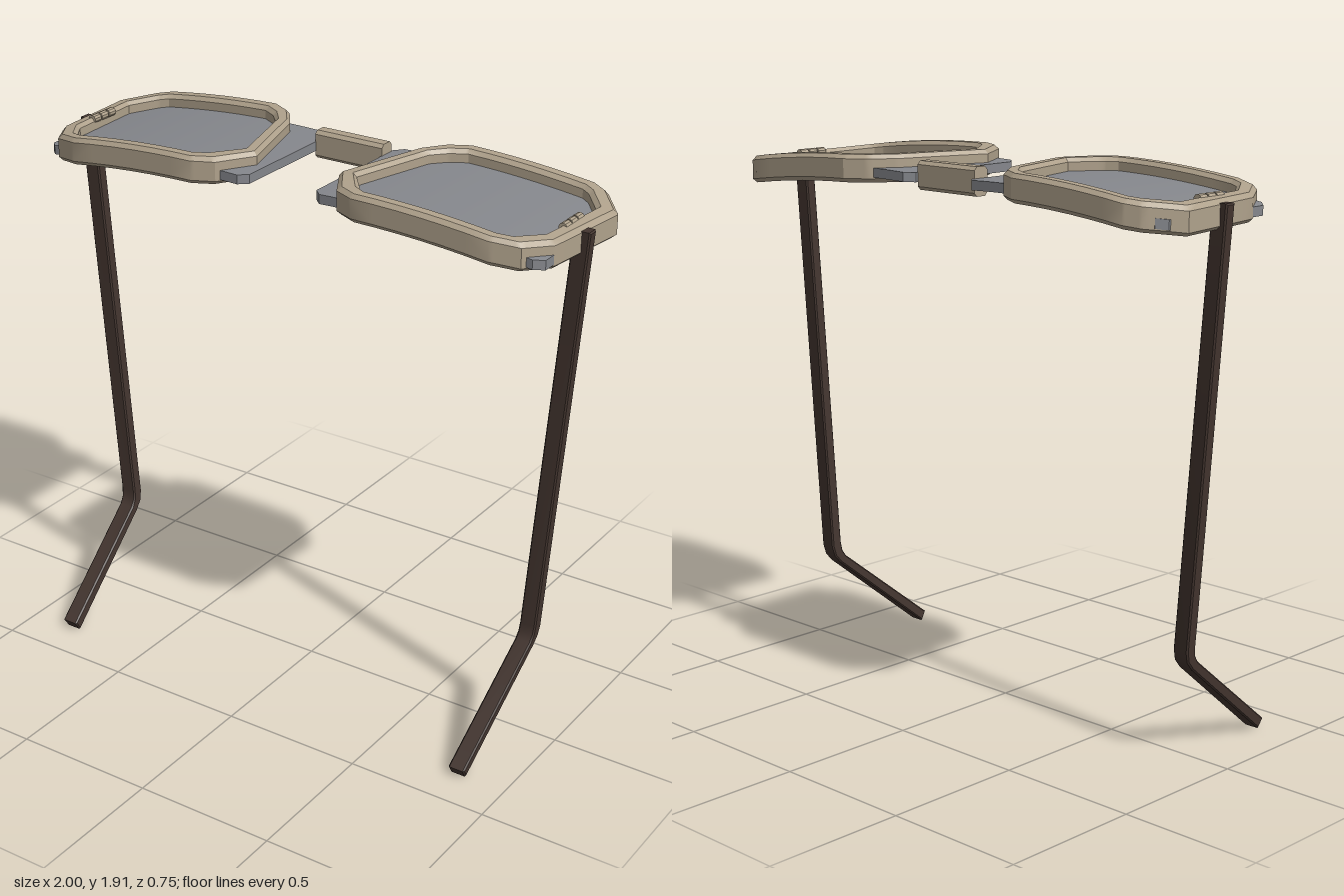
import * as THREE from 'three';
import { toCreasedNormals } from 'three/addons/utils/BufferGeometryUtils.js';

const mat = (color) => new THREE.MeshStandardMaterial({ color });
const tan = mat(0xb0a28c), brown = mat(0x43352f), glass = mat(0x85878c);

// height of the wrapped front: a shallow arc across each eye
const arc = (x) => 1.867 - 0.13 * (x - 0.3) ** 2;

function part(name, geometry, material, crease = 0.5) {
  const mesh = new THREE.Mesh(toCreasedNormals(geometry, crease), material);
  mesh.name = name;
  return mesh;
}

function reshape(geometry, rule) {
  const p = geometry.attributes.position;
  const v = new THREE.Vector3();
  for (let i = 0; i < p.count; i++) {
    rule(v.fromBufferAttribute(p, i));
    p.setXYZ(i, v.x, v.y, v.z);
  }
  return geometry;
}

// rim corners as pairs: outer x, z and inner x, z
const RIM = [
  [0.39, -0.378, 0.405, -0.318], [0.845, -0.378, 0.825, -0.318],
  [0.9, -0.35, 0.855, -0.3], [0.99, -0.24, 0.925, -0.215],
  [0.957, 0.11, 0.902, 0.085], [0.895, 0.21, 0.84, 0.175],
  [0.8, 0.246, 0.805, 0.19], [0.31, 0.246, 0.335, 0.19],
  [0.235, 0.21, 0.295, 0.165], [0.16, 0.08, 0.22, 0.07],
  [0.255, -0.25, 0.305, -0.235], [0.315, -0.335, 0.35, -0.285],
];

// chamfered cross-section: (fraction inwards, height from the arc)
const SECTION = [
  [0, -0.033], [0, 0.033], [0.22, 0.047], [0.78, 0.047],
  [1, 0.033], [1, -0.033], [0.78, -0.047], [0.22, -0.047],
];

function rimGeometry() {
  const steps = 6, pos = [], index = [], m = SECTION.length;
  const rings = RIM.length * steps;
  RIM.forEach((a, i) => {
    const b = RIM[(i + 1) % RIM.length];
    for (let s = 0; s < steps; s++) {
      const [ox, oz, ix, iz] = a.map((c, k) => c + (b[k] - c) * s / steps);
      for (const [t, h] of SECTION) {
        const x = ox + (ix - ox) * t;
        pos.push(x, arc(x) + h, oz + (iz - oz) * t);
      }
    }
  });
  for (let r = 0; r < rings; r++) {
    for (let k = 0; k < m; k++) {
      const n = (r + 1) % rings, l = (k + 1) % m;
      const a = r * m + k, b = r * m + l, c = n * m + l, d = n * m + k;
      index.push(a, b, c, a, c, d);
    }
  }
  const g = new THREE.BufferGeometry();
  g.setAttribute('position', new THREE.Float32BufferAttribute(pos, 3));
  g.setIndex(index);
  return g;
}

// curved plate with clipped corners that runs through the rim to the bridge
function lensGeometry() {
  const x0 = 0.13, x1 = 0.955;
  const g = new THREE.BoxGeometry(x1 - x0, 0.032, 0.515, 28, 1, 1);
  g.translate((x0 + x1) / 2, 0, 0);
  return reshape(g, (v) => {
    if (v.x < x0 + 0.01 || v.x > x1 - 0.01) v.z -= Math.sign(v.z) * 0.03;
    v.z -= 0.0625;
    v.y += arc(v.x) - 0.013;
  });
}

// side profile (z, y), given thickness in x and leaned inwards
function armGeometry() {
  const bevel = 0.005;
  const shape = new THREE.Shape([
    [-0.074, 1.845], [-0.076, 0.39], [-0.066, 0.352], [-0.04, 0.322], [0.353, 0.005],
    [0.374, 0.038], [-0.013, 0.345], [-0.028, 0.368], [-0.033, 0.4], [-0.033, 1.845],
  ].map(([z, y]) => new THREE.Vector2(z, y)));
  const g = new THREE.ExtrudeGeometry(shape, {
    depth: 0.05, bevelSize: bevel, bevelOffset: -bevel, bevelThickness: bevel, bevelSegments: 1,
  });
  g.translate(0, 0, -0.025).rotateY(-Math.PI / 2);
  return reshape(g, (v) => { v.x += 0.824 + 0.146 * v.y / 1.845; });
}

function bridgeGeometry() {
  const w = 0.03, h = 0.0485, c = 0.012;
  const shape = new THREE.Shape([
    [-w + c, -h], [w - c, -h], [w, -h + c], [w, h - c],
    [w - c, h], [-w + c, h], [-w, h - c], [-w, -h + c],
  ].map(([x, y]) => new THREE.Vector2(x, y)));
  const g = new THREE.ExtrudeGeometry(shape, { depth: 0.264, bevelEnabled: false });
  return g.translate(0, 0, -0.132).rotateY(Math.PI / 2).translate(0, 1.856, -0.25);
}

function createSide() {
  const side = new THREE.Group();
  side.add(part('rim', rimGeometry(), tan));
  side.add(part('lens', lensGeometry(), glass));
  side.add(part('templeArm', armGeometry(), brown));

  // three hinge knuckles set into the outer rail
  const hinge = new THREE.Group();
  hinge.name = 'hinge';
  for (const z of [-0.1, -0.06, -0.02]) {
    const g = new THREE.CylinderGeometry(0.015, 0.015, 0.034, 10);
    hinge.add(part('hingeKnuckle', g.rotateX(Math.PI / 2).translate(0.92, 1.857, z), tan));
  }
  side.add(hinge);
  return side;
}

export function createModel() {
  const model = new THREE.Group();
  model.name = 'glasses';
  const left = createSide();
  left.name = 'leftSide';
  const right = createSide();
  right.name = 'rightSide';
  right.scale.x = -1;
  model.add(left, right, part('bridge', bridgeGeometry(), tan));
  return model;
}
